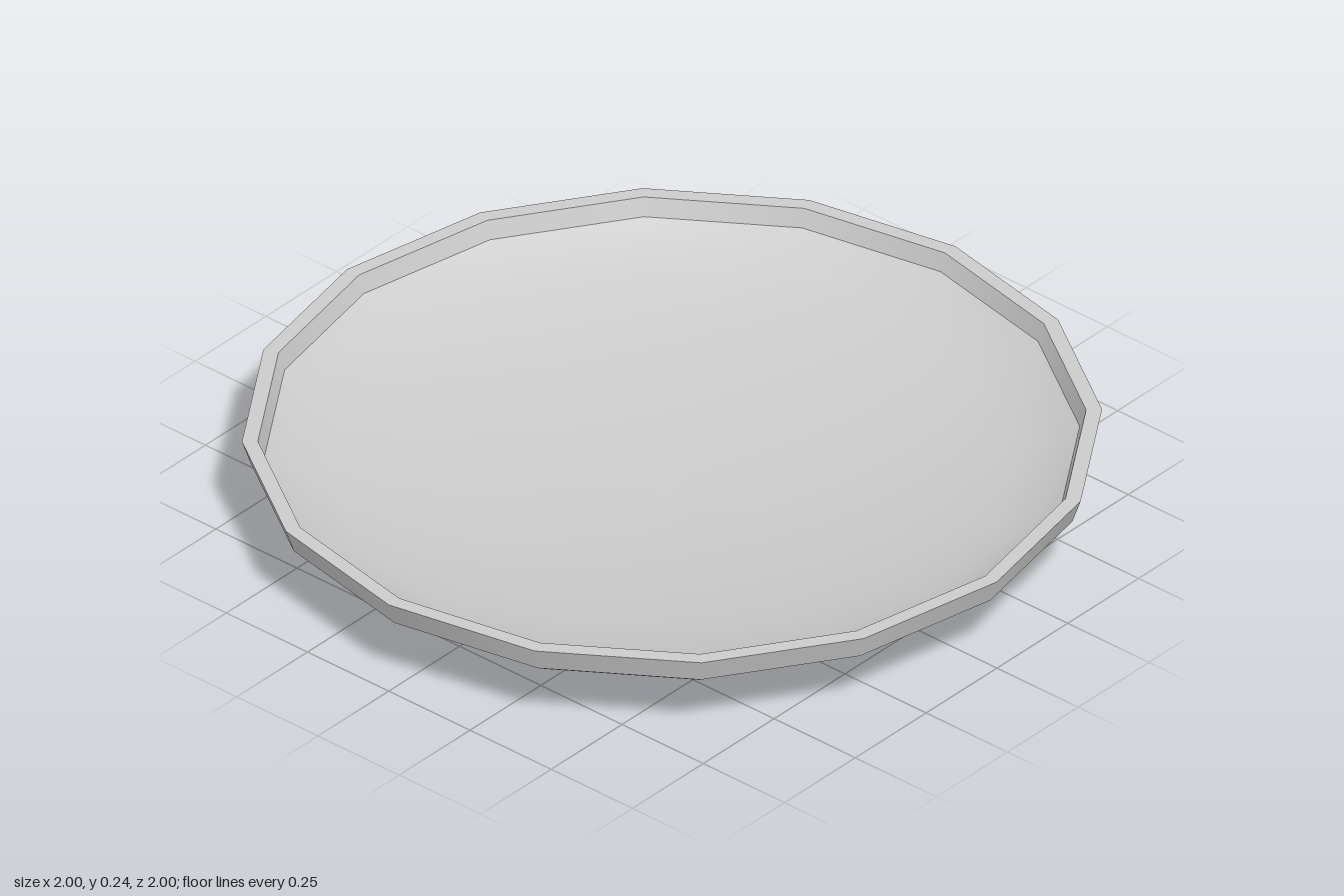
import * as THREE from 'three';

const SIDES = 16;

export function createModel() {
  const dish = new THREE.Group();
  dish.name = 'dish';
  const material = new THREE.MeshStandardMaterial({ color: 0xcccccc });

  // Each band is its own lathe, so shading is smooth within it and creased between bands
  const addBand = (name, profile) => {
    const points = profile.map(([r, y]) => new THREE.Vector2(r, y));
    const mesh = new THREE.Mesh(new THREE.LatheGeometry(points, SIDES), material);
    mesh.name = name;
    dish.add(mesh);
  };

  // Rounded underside
  const underside = [
    [0, 0], [0.18, 0.005], [0.36, 0.018], [0.53, 0.038],
    [0.69, 0.067], [0.82, 0.1], [0.92, 0.14], [0.98, 0.18],
  ];
  addBand('underside', underside);

  // Upright lip: outer wall, flat top edge, inner wall
  addBand('outerLip', [[0.98, 0.18], [1, 0.24]]);
  addBand('rimEdge', [[1, 0.24], [0.963, 0.24]]);
  addBand('innerLip', [[0.963, 0.24], [0.948, 0.195]]);

  // Hollow inside, following the underside from lip to centre
  addBand('bowlInterior', [
    [0.948, 0.195], [0.89, 0.16], [0.8, 0.126], [0.67, 0.095],
    [0.52, 0.069], [0.35, 0.05], [0.18, 0.038], [0, 0.034],
  ]);

  return dish;
}
